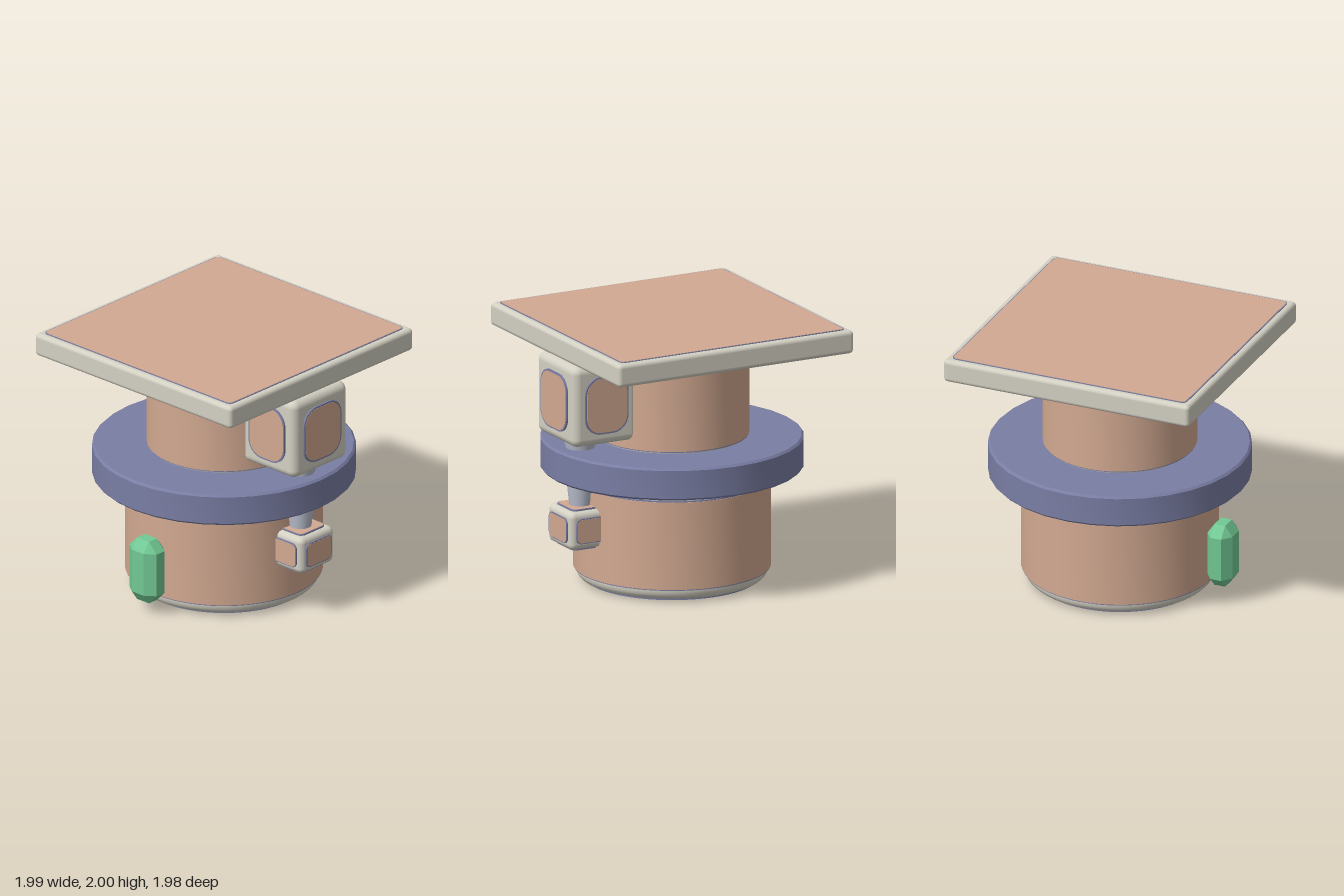
import * as THREE from 'three';
import { RoundedBoxGeometry } from 'three/addons/geometries/RoundedBoxGeometry.js';
import { ConvexGeometry } from 'three/addons/geometries/ConvexGeometry.js';
import { toCreasedNormals } from 'three/addons/utils/BufferGeometryUtils.js';

const AXIS = -0.008; // x of the main column

export function createModel() {
  const model = new THREE.Group();
  const paint = (name, color) => {
    const m = new THREE.MeshStandardMaterial({ color });
    m.name = name;
    return m;
  };
  const tan = paint('tan', 0xd2a991);
  const cream = paint('cream', 0xd3d0c3);
  const slate = paint('slate purple', 0x7a7ea4);
  const steel = paint('pale steel', 0xb6bccb);
  const green = paint('crystal green', 0x72c994);

  const add = (parent, name, geometry, material, x = 0, y = 0, z = 0) => {
    const mesh = new THREE.Mesh(geometry, material);
    mesh.name = name;
    mesh.position.set(x, y, z);
    parent.add(mesh);
    return mesh;
  };

  // Solid of revolution, sharp at profile corners
  const turned = (points, sides) => toCreasedNormals(
    new THREE.LatheGeometry(points.map(([r, y]) => new THREE.Vector2(r, y)), sides), 0.5);

  // Cylinder profile with rounded rims
  const drumProfile = (radius, y0, y1, round) => {
    const points = [[0, y0]];
    for (let i = 0; i <= 5; i++) {
      const a = (i / 5) * Math.PI / 2;
      points.push([radius - round + round * Math.sin(a), y0 + round - round * Math.cos(a)]);
    }
    for (let i = 0; i <= 5; i++) {
      const a = (i / 5) * Math.PI / 2;
      points.push([radius - round + round * Math.cos(a), y1 - round + round * Math.sin(a)]);
    }
    points.push([0, y1]);
    return points;
  };
  const disc = (radius, y0, y1, sides = 64) =>
    turned([[0, y0], [radius, y0], [radius, y1], [0, y1]], sides);

  // Rounded rectangle plate rising along +z
  const plate = (w, h, r, depth) => {
    const s = new THREE.Shape();
    const x = w / 2 - r, y = h / 2 - r;
    s.absarc(x, y, r, 0, Math.PI / 2);
    s.absarc(-x, y, r, Math.PI / 2, Math.PI);
    s.absarc(-x, -y, r, Math.PI, Math.PI * 1.5);
    s.absarc(x, -y, r, Math.PI * 1.5, Math.PI * 2);
    s.closePath();
    return toCreasedNormals(
      new THREE.ExtrudeGeometry(s, { depth, bevelEnabled: false, curveSegments: 8 }), 0.5);
  };

  // Rounded block with bordered panels on the chosen faces
  function panelledBlock(name, size, round, panel, corner, rise, border, faces) {
    const group = new THREE.Group();
    group.name = name;
    const [w, h, d] = size, [pw, ph, pd] = panel;
    add(group, 'body', new RoundedBoxGeometry(w, h, d, 4, round), cream);
    const sides = {
      front: [pw, ph, d, 0, 0],
      back: [pw, ph, d, 0, Math.PI],
      left: [pd, ph, w, 0, Math.PI / 2],
      top: [pw, pd, h, -Math.PI / 2, 0],
      bottom: [pw, pd, h, Math.PI / 2, 0],
    };
    for (const face of faces) {
      const [a, b, across, rx, ry] = sides[face];
      const holder = new THREE.Group();
      holder.name = face + 'Panel';
      holder.rotation.set(rx, ry, 0);
      add(holder, 'border', plate(a, b, corner, rise), slate, 0, 0, across / 2 - 0.001);
      add(holder, 'inset', plate(a - border * 2, b - border * 2, corner - border, 0.003), tan,
        0, 0, across / 2 + rise - 0.002);
      group.add(holder);
    }
    model.add(group);
    return group;
  }

  // Round drum with a banded wall
  function drum(name, radius, y0, y1, round, band, bandY0, bandY1) {
    const group = new THREE.Group();
    group.name = name;
    group.position.x = AXIS;
    add(group, 'body', turned(drumProfile(radius, y0, y1, round), 64), cream);
    add(group, 'bandBorder', disc(band - 0.004, bandY0, bandY1), slate);
    add(group, 'band', disc(band, bandY0 + 0.008, bandY1 - 0.008), tan);
    model.add(group);
    return group;
  }

  // Lower drum with a bordered base
  const lower = drum('lowerDrum', 0.708, 0.016, 0.86, 0.07, 0.729, 0.098, 0.782);
  add(lower, 'baseBorder', disc(0.637, 0.003, 0.02), slate);
  add(lower, 'baseInset', disc(0.622, 0, 0.006), tan);

  // Wide collar with chamfered rims
  add(model, 'collar', turned([[0, 0.856], [0.957, 0.856], [0.973, 0.872],
    [0.973, 1.084], [0.957, 1.1], [0, 1.1]], 32), slate, AXIS);

  // Upper drum
  drum('upperDrum', 0.558, 1.07, 1.85, 0.04, 0.569, 1.108, 1.788);

  // Square top slab
  panelledBlock('topSlab', [1.978, 0.176, 1.978], 0.032, [1.884, 1, 1.884], 0.04, 0.006, 0.008,
    ['top', 'bottom']).position.set(AXIS, 1.907, 0);

  // Side blocks joined by a flared stem
  const visible = ['front', 'back', 'left', 'top', 'bottom'];
  panelledBlock('upperSideBlock', [0.538, 0.616, 0.586], 0.06, [0.36, 0.438, 0.4], 0.13, 0.015, 0.012,
    visible).position.set(0.705, 1.488, 0);
  panelledBlock('lowerSideBlock', [0.362, 0.288, 0.362], 0.045, [0.274, 0.192, 0.274], 0.045, 0.012, 0.007,
    visible).position.set(0.76, 0.51, 0);
  add(model, 'stem', turned([[0, 0.65], [0.08, 0.65], [0.102, 0.86], [0.106, 1.1],
    [0.128, 1.165], [0.128, 1.2], [0, 1.2]], 24), steel, 0.763);

  // Chamfered crystal on the front
  const corners = [];
  for (const sx of [-1, 1]) for (const sy of [-1, 1]) for (const sz of [-1, 1]) {
    for (const [x, y, z] of [[0.137, 0.168, 0.043], [0.06, 0.248, 0.043], [0.06, 0.168, 0.1]]) {
      corners.push(new THREE.Vector3(sx * x, sy * y, sz * z));
    }
  }
  add(model, 'crystal', new ConvexGeometry(corners), green, AXIS, 0.348, 0.83);

  return model;
}
